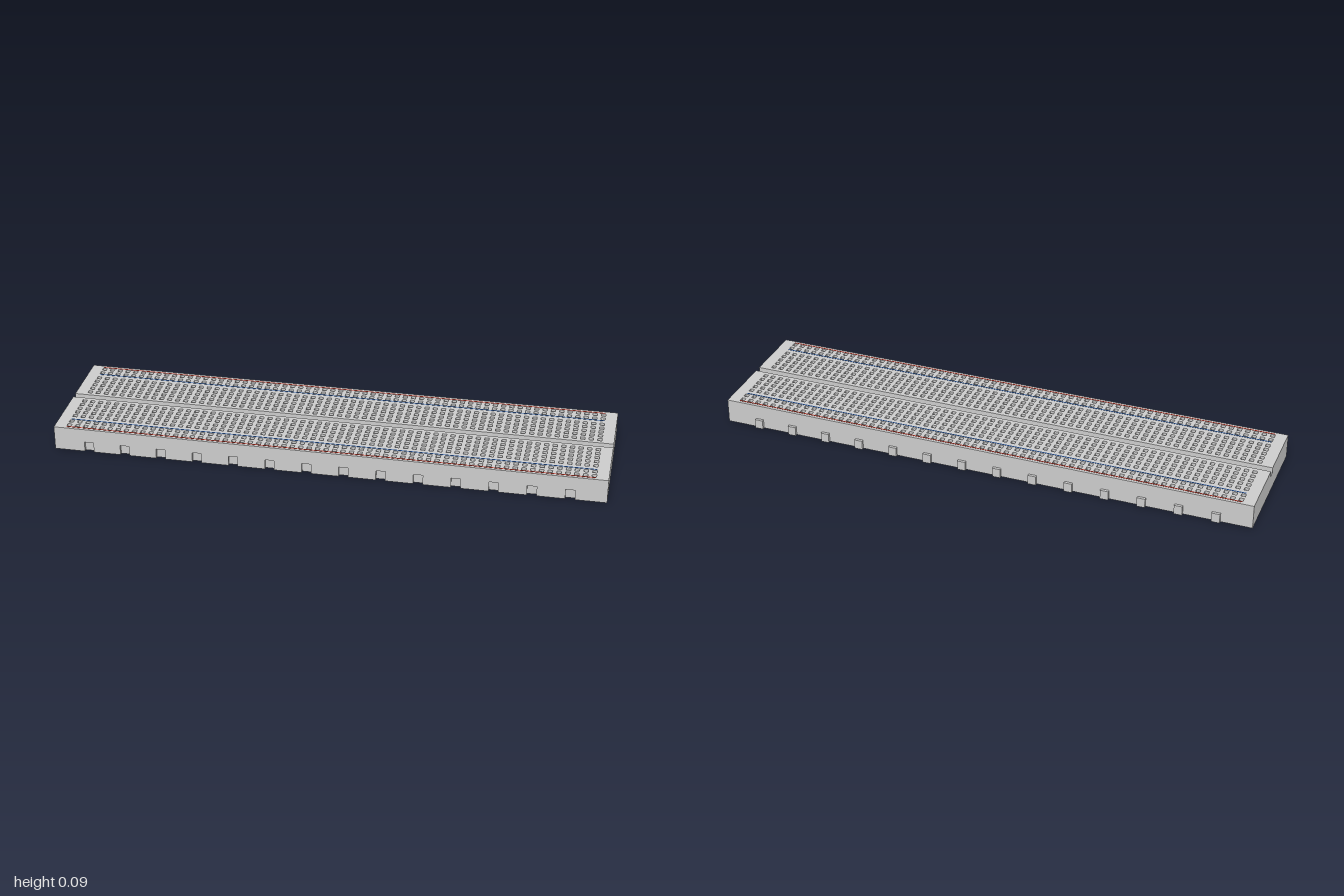
import * as THREE from 'three';

const CENTRE = 0.0055;           // z of the middle channel
const FRONT = 0.25, BACK = -0.24;
const DECK = 0.068, TOP = 0.09;  // channel floor and top face
const COLS = 63, PITCH_X = 0.0306, PITCH_Z = 0.0285, HOLE = 0.016;

const material = (color) => new THREE.MeshStandardMaterial({ color, flatShading: true });
const grey = material(0xcccccc), red = material(0xc0392b), blue = material(0x2f5fa8);

function add(group, name, geometry, mat = grey) {
  const mesh = new THREE.Mesh(geometry, mat);
  mesh.name = name;
  group.add(mesh);
}

// Box given by its limits
function box(x0, x1, y0, y1, z0, z1) {
  return new THREE.BoxGeometry(x1 - x0, y1 - y0, z1 - z0)
    .translate((x0 + x1) / 2, (y0 + y1) / 2, (z0 + z1) / 2);
}

// Plan outline (x, -z) raised from y0 to y1
function raise(shape, y0, y1) {
  return new THREE.ExtrudeGeometry(shape, { depth: y1 - y0, bevelEnabled: false })
    .rotateX(-Math.PI / 2).translate(0, y0, 0);
}

const rect = (Kind, x0, x1, z0, z1) => new Kind([
  new THREE.Vector2(x0, -z1), new THREE.Vector2(x1, -z1),
  new THREE.Vector2(x1, -z0), new THREE.Vector2(x0, -z0),
]);

// Panel pierced by rows of square contact holes
function panel(z0, z1, rows) {
  const shape = rect(THREE.Shape, -1, 1, z0, z1);
  for (const z of rows) {
    for (let i = 0; i < COLS; i++) {
      const x = (i - (COLS - 1) / 2) * PITCH_X, h = HOLE / 2;
      shape.holes.push(rect(THREE.Path, x - h, x + h, z - h, z + h));
    }
  }
  return raise(shape, DECK, TOP);
}

export function createModel() {
  const model = new THREE.Group();
  model.name = 'breadboard';
  const tabXs = Array.from({ length: 14 }, (_, i) => (i - 6.5) * 0.134);

  // Lower base with interlocking notches along the front
  const base = new THREE.Shape();
  base.moveTo(-1, -FRONT);
  for (const x of tabXs) {
    base.lineTo(x - 0.017, -FRONT);
    base.lineTo(x - 0.017, -FRONT + 0.011);
    base.lineTo(x + 0.017, -FRONT + 0.011);
    base.lineTo(x + 0.017, -FRONT);
  }
  base.lineTo(1, -FRONT);
  base.lineTo(1, -BACK);
  base.lineTo(-1, -BACK);
  add(model, 'notchedBase', raise(base, 0, 0.038));
  add(model, 'upperBase', box(-1, 1, 0.038, DECK, BACK, FRONT));

  // Matching tabs along the back
  for (const x of tabXs) {
    add(model, 'backTab', box(x - 0.015, x + 0.015, 0, 0.035, BACK - 0.01, BACK + 0.002));
  }

  // Terminal blocks, power rails and rail stripes, mirrored about the channel
  for (const side of [1, -1]) {
    const label = side > 0 ? 'front' : 'back';
    const at = (d) => CENTRE + side * d;
    const span = (a, b) => [Math.min(at(a), at(b)), Math.max(at(a), at(b))];
    const outer = side > 0 ? FRONT - CENTRE : CENTRE - BACK;

    const terminalRows = [0, 1, 2, 3, 4].map((i) => at(0.036 + i * PITCH_Z));
    add(model, label + 'TerminalBlock', panel(...span(0.0125, 0.169), terminalRows));
    add(model, label + 'PowerRail', panel(...span(0.169, outer), [at(0.191), at(0.2195)]));

    for (const [name, d, mat] of [['BlueStripe', 0.1765, blue], ['RedStripe', 0.233, red]]) {
      add(model, label + name, box(-0.955, 0.955, TOP, TOP + 0.001, ...span(d - 0.002, d + 0.002)), mat);
    }
  }
  return model;
}
